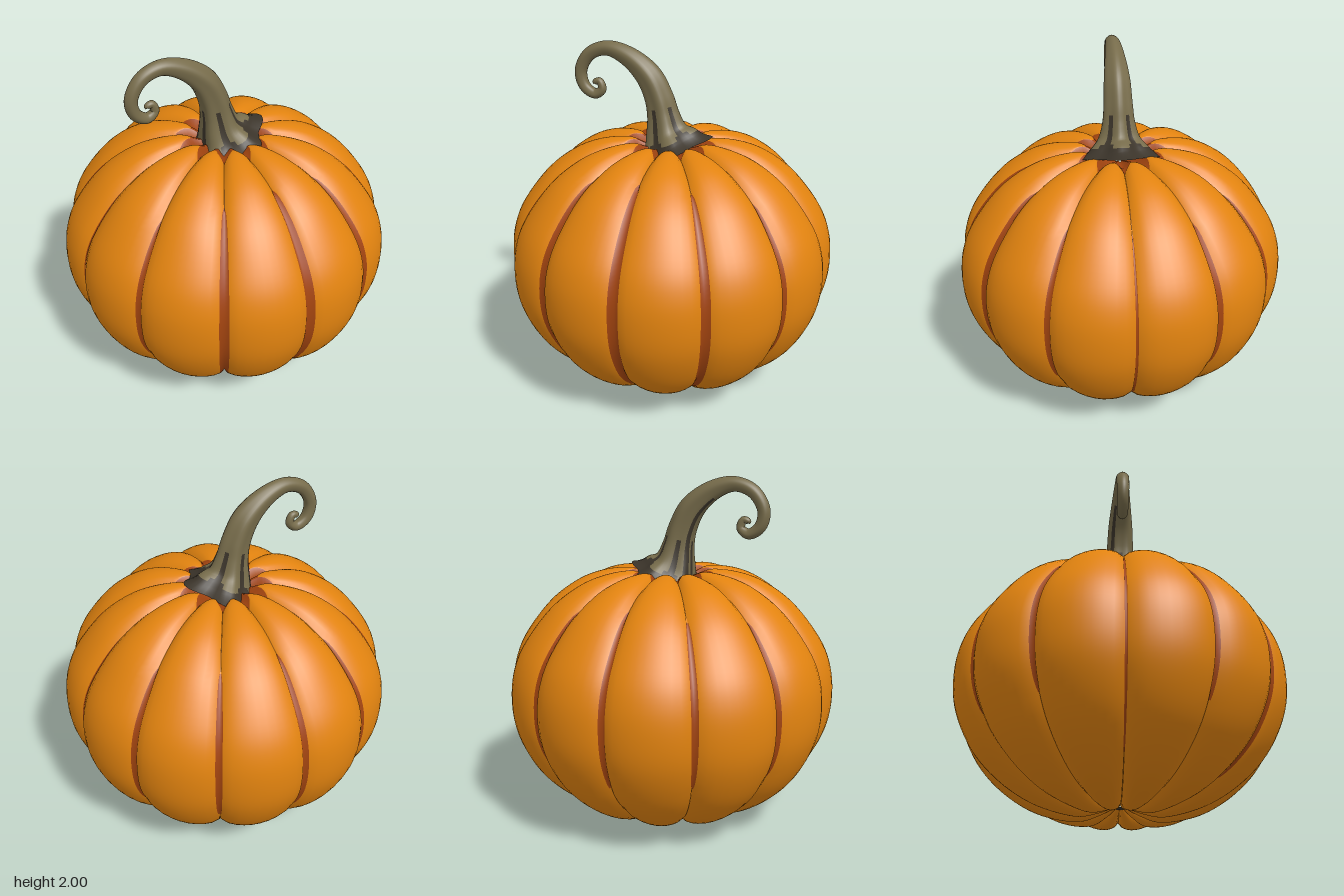
import * as THREE from 'three';

const material = (name, color) => {
  const m = new THREE.MeshStandardMaterial({ color });
  m.name = name;
  return m;
};

// Closed-around skin from rows of points; pick(row, col) chooses the material index.
function skin(rows, pick, materials, name) {
  const n = rows[0].length;
  const lists = materials.map(() => []);
  for (let j = 0; j < rows.length - 1; j++) {
    for (let i = 0; i < n; i++) {
      const i2 = (i + 1) % n;
      const a = j * n + i, b = j * n + i2, c = b + n, d = a + n;
      lists[pick(j, i)].push(a, b, c, a, c, d);
    }
  }
  const g = new THREE.BufferGeometry();
  g.setAttribute('position', new THREE.Float32BufferAttribute(rows.flat(2), 3));
  g.setIndex(lists.flat());
  let start = 0;
  lists.forEach((l, k) => {
    g.addGroup(start, l.length, k);
    start += l.length;
  });
  g.computeVertexNormals();
  const mesh = new THREE.Mesh(g, materials);
  mesh.name = name;
  return mesh;
}

const clamp = THREE.MathUtils.clamp;

// Ribbed body with coloured strips down the grooves
function makeBody(orange, rust) {
  const profile = new THREE.SplineCurve([
    [0.03, 0.07], [0.12, 0.03], [0.25, 0.005], [0.45, 0.05], [0.62, 0.14], [0.77, 0.27],
    [0.87, 0.41], [0.94, 0.58], [0.96, 0.75], [0.94, 0.92], [0.87, 1.08], [0.72, 1.27],
    [0.56, 1.39], [0.41, 1.45], [0.25, 1.47], [0.15, 1.44], [0.04, 1.4],
  ].map(p => new THREE.Vector2(...p))).getPoints(96);

  // Strip half width, bottom and top, by groove steps away from the front
  const strips = [
    [0.031, 0.13, 1.4], [0.028, 0.13, 1.37], [0.018, 0.4, 1.29], [0.008, 0.15, 1.29],
    [0.02, 0.45, 1.29], [0.02, 0.45, 1.32], [0.02, 0.4, 1.35],
  ];
  const RIBS = 12, COLS = 11, STEP = Math.PI * 2 / RIBS;
  const strip = k => strips[Math.min(k % RIBS, RIBS - k % RIBS)];
  const atTop = p => p.y > 1 && p.x < 0.29;
  const inStrip = (k, p) => atTop(p) || (p.y > strip(k)[1] && p.y < strip(k)[2]);
  const halfAngle = (k, p) => {
    if (atTop(p)) return 0.01 + 0.2 * clamp((0.29 - p.x) / 0.09, 0, 1);
    const [w, lo, hi] = strip(k);
    const t = clamp((p.y - lo) / (hi - lo), 0, 1);
    return Math.max(0.004, w * Math.pow(Math.sin(Math.PI * t), 0.3) / p.x);
  };

  const rows = profile.map(p => {
    const row = [];
    for (let k = 0; k < RIBS; k++) {
      const w0 = halfAngle(k, p), w1 = halfAngle(k + 1, p);
      for (let c = 0; c < COLS; c++) {
        const local = c === 0 ? 0 : w0 + (STEP - w0 - w1) * (c - 1) / (COLS - 2);
        const a = k * STEP + local;
        const groove = 1 - Math.sqrt(Math.abs(Math.sin(local * RIBS / 2)));
        const f = 1 - 0.062 * groove * clamp(p.x / 0.15, 0, 1);
        row.push([Math.sin(a) * p.x * f, 0.74 + (p.y - 0.74) * f, Math.cos(a) * p.x * f]);
      }
    }
    return row;
  });

  const pick = (j, i) => {
    const p = profile[j].clone().lerp(profile[j + 1], 0.5);
    if (p.y > 1 && p.x < 0.2) return 1;
    const k = Math.floor(i / COLS), c = i % COLS;
    if (c === 0) return inStrip(k, p) ? 1 : 0;
    if (c === COLS - 1) return inStrip(k + 1, p) ? 1 : 0;
    return 0;
  };
  return skin(rows, pick, [orange, rust], 'body');
}

// Fluted stem, flared at the base and curling to a thin tip
function makeStem(olive, dark) {
  // Each point holds x, y and the stem's radius there
  const path = new THREE.CatmullRomCurve3([
    [0.015, 1.41, 0.22], [0.0, 1.45, 0.165], [-0.025, 1.51, 0.117], [-0.045, 1.6, 0.09],
    [-0.07, 1.7, 0.08], [-0.13, 1.82, 0.073], [-0.25, 1.92, 0.056], [-0.38, 1.96, 0.042],
    [-0.49, 1.92, 0.038], [-0.55, 1.82, 0.036], [-0.53, 1.73, 0.034], [-0.465, 1.69, 0.03],
    [-0.42, 1.72, 0.025], [-0.435, 1.765, 0.021], [-0.465, 1.758, 0.016], [-0.472, 1.745, 0.001],
  ].map(p => new THREE.Vector3(...p)));
  const STEPS = 90, SIDES = 40, RIDGES = 5;
  const centres = [];
  const rows = [];
  for (let j = 0; j <= STEPS; j++) {
    const p = path.getPoint(j / STEPS);
    const t = path.getTangent(j / STEPS);
    const len = Math.hypot(t.x, t.y) || 1;
    const nx = t.y / len, ny = -t.x / len;
    const flute = 0.02 + 0.11 * clamp(1 - j / 40, 0, 1);
    const row = [];
    for (let i = 0; i < SIDES; i++) {
      const a = i / SIDES * Math.PI * 2;
      const r = Math.max(p.z, 0.001) * (1 + flute * Math.cos(RIDGES * a));
      row.push([p.x + nx * r * Math.cos(a), p.y + ny * r * Math.cos(a), -r * Math.sin(a)]);
    }
    centres.push(p);
    rows.push(row);
  }
  // Dark foot with streaks running up the flutes, longest on the inside of the bend
  const pick = (j, i) => {
    const y = centres[j].y;
    const a = (i + 0.5) / SIDES * Math.PI * 2;
    const depth = -Math.cos(RIDGES * a);
    if (j < 12 && y < 1.455) return 1;
    if (j < 26 && depth > 0.3 + (y - 1.45) * 3.2) return 1;
    return j < 36 && Math.abs(a - Math.PI * 0.8) < 0.1 ? 1 : 0;
  };
  return skin(rows, pick, [olive, dark], 'stem');
}

export function createModel() {
  const orange = material('orange skin', 0xe2830f);
  const rust = material('rust groove', 0xa0430f);
  const olive = material('olive stem', 0x776c4b);
  const dark = material('dark stem', 0x3b342a);

  const model = new THREE.Group();
  model.name = 'pumpkin';
  model.add(makeBody(orange, rust), makeStem(olive, dark));

  // Blossom scar underneath
  const scar = new THREE.Mesh(new THREE.CircleGeometry(0.035, 16), dark);
  scar.name = 'blossomScar';
  scar.rotation.x = Math.PI / 2;
  scar.position.y = 0.066;
  model.add(scar);
  return model;
}
